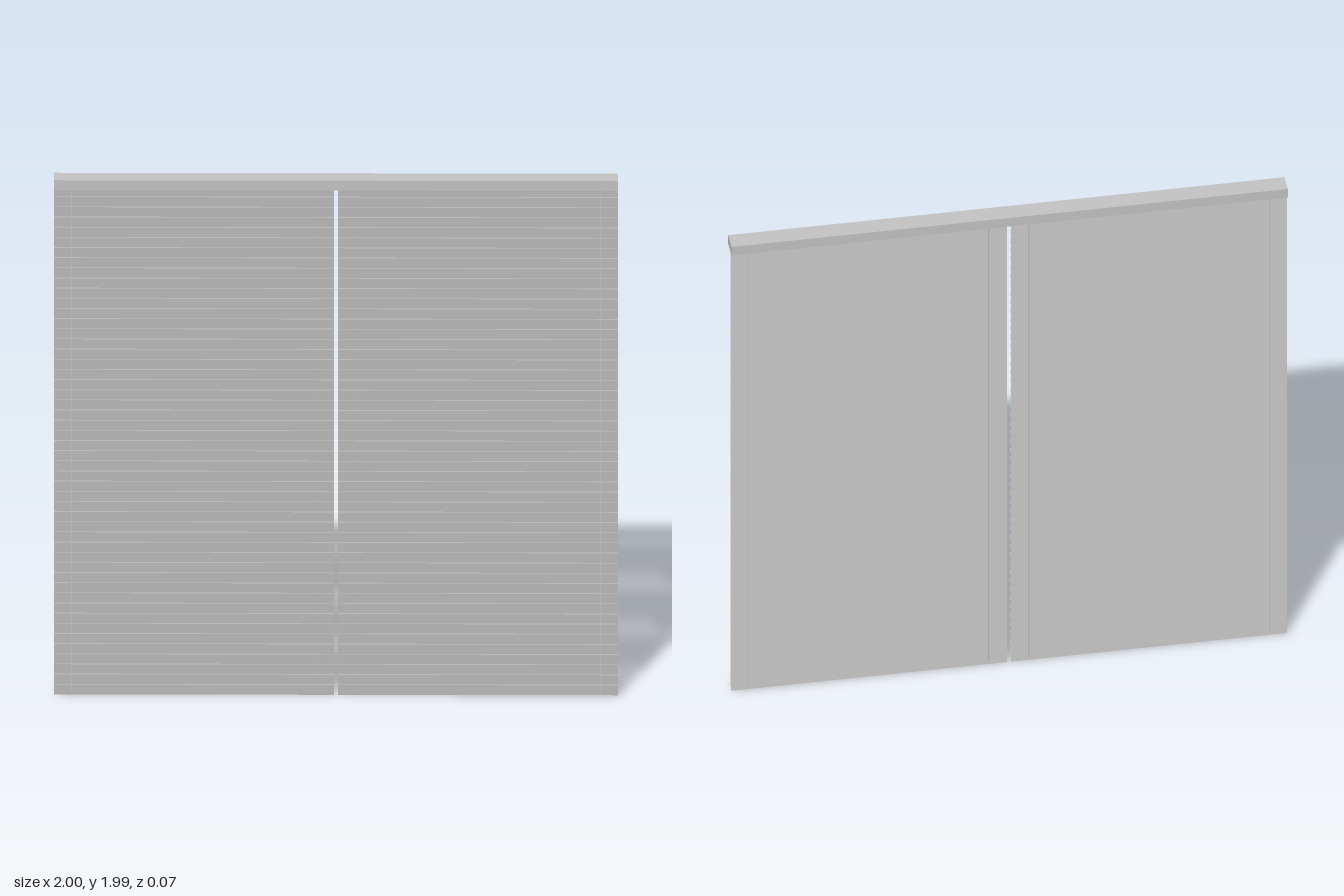
import * as THREE from 'three';

// Thin sheet of the given width that follows a [y, z] cross-section, with crisp folds
function foldedSheet(width, profile) {
  const plane = new THREE.PlaneGeometry(width, 1, 1, profile.length - 1);
  const pos = plane.attributes.position;
  for (let i = 0; i < pos.count; i++) {
    const [y, z] = profile[Math.floor(i / 2)];
    pos.setXYZ(i, pos.getX(i), y, z);
  }
  const sheet = plane.toNonIndexed();
  sheet.computeVertexNormals();
  return sheet;
}

export function createModel() {
  const group = new THREE.Group();
  const grey = new THREE.MeshStandardMaterial({ color: 0xc4c4c4, side: THREE.DoubleSide });
  grey.name = 'blind grey';

  const add = (name, geometry, x, y, z) => {
    const mesh = new THREE.Mesh(geometry, grey);
    mesh.name = name;
    mesh.position.set(x, y, z);
    group.add(mesh);
  };

  // Head rail across the top
  add('headRail', new THREE.BoxGeometry(2, 0.038, 0.07), 0, 1.973, 0);

  // Two banks of thin slats, each with a lip reaching forward at its top
  const count = 50, pitch = 0.0389, gap = 0.007;
  const slat = foldedSheet(1 - gap, [[0.045, -0.003], [0.0425, -0.016], [0, -0.021]]);
  for (const side of [-1, 1]) {
    for (let i = 0; i < count; i++) {
      add(side < 0 ? 'rightSlat' : 'leftSlat', slat, side * (1 + gap) / 2, i * pitch, 0);
    }
  }

  // Ladder cords: front and back near the outer ends, back only by the middle
  const cord = new THREE.BoxGeometry(0.004, 1.94, 0.003);
  for (const side of [-1, 1]) {
    add('outerFrontCord', cord, side * 0.937, 0.985, -0.002);
    add('outerBackCord', cord, side * 0.937, 0.985, -0.022);
    add('innerBackCord', cord, side * 0.073, 0.985, -0.022);
  }

  return group;
}
